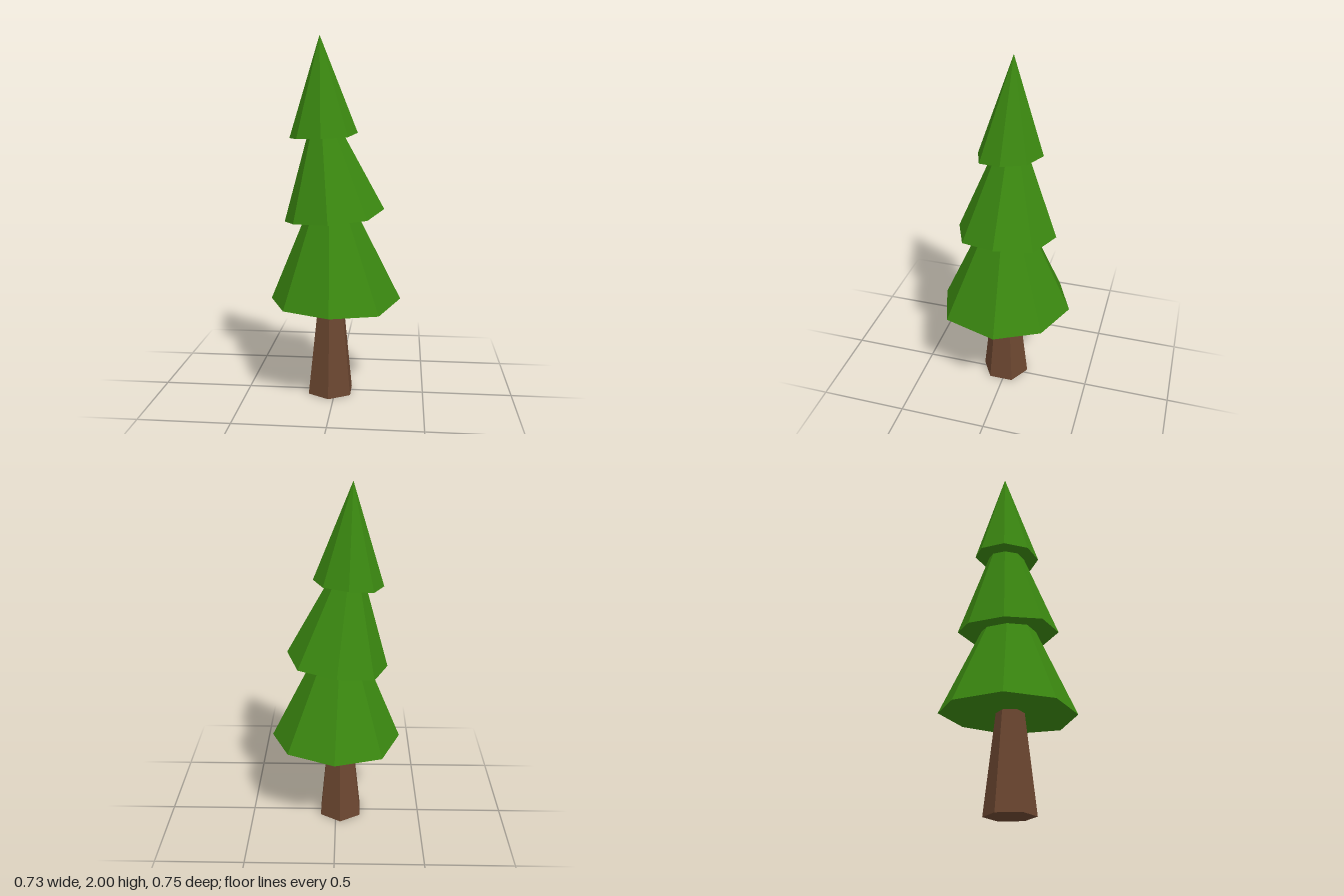
import * as THREE from 'three';

// Closed solid from a base ring up to either one apex point or a matching top ring.
// Rings run from the back (-z) through +x to the front (+z).
function solid(name, base, top, material) {
  const pos = [];
  const tri = (...pts) => pts.forEach((p) => pos.push(...p));
  const centre = (ring) => [0, 1, 2].map((k) => ring.reduce((s, p) => s + p[k], 0) / ring.length);
  const bottom = centre(base);
  const peak = centre(top);
  base.forEach((a, i) => {
    const j = (i + 1) % base.length;
    const b = base[j];
    tri(a, b, bottom);
    if (top.length === 1) {
      tri(b, a, peak);
    } else {
      tri(b, a, top[i]);
      tri(b, top[i], top[j]);
      tri(top[j], top[i], peak);
    }
  });
  const geometry = new THREE.BufferGeometry();
  geometry.setAttribute('position', new THREE.Float32BufferAttribute(pos, 3));
  geometry.computeVertexNormals();
  const mesh = new THREE.Mesh(geometry, material);
  mesh.name = name;
  return mesh;
}

export function createModel() {
  const tree = new THREE.Group();
  tree.name = 'pineTree';
  const foliage = new THREE.MeshStandardMaterial({ color: 0x3a8710 });
  foliage.name = 'foliage green';
  const bark = new THREE.MeshStandardMaterial({ color: 0x6b4630 });
  bark.name = 'bark brown';

  // Tapered six-sided trunk, its top hidden in the lowest tier
  const hexagon = (y, cx, cz, halfWidth, halfDepth) =>
    Array.from({ length: 6 }, (_, i) => {
      const a = (i * Math.PI) / 3;
      return [cx + (halfWidth * Math.sin(a)) / Math.sin(Math.PI / 3), y, cz - halfDepth * Math.cos(a)];
    });
  tree.add(solid('trunk', hexagon(0, -0.028, 0.012, 0.118, 0.138), hexagon(0.6, -0.025, 0.014, 0.06, 0.07), bark));

  // Three leaning eight-sided tiers with uneven lower rims
  tree.add(solid('lowerBranches', [
    [0, 0.555, -0.375], [0.26, 0.56, -0.27], [0.365, 0.545, -0.025], [0.255, 0.53, 0.283],
    [0, 0.535, 0.373], [-0.26, 0.535, 0.255], [-0.368, 0.535, -0.005], [-0.26, 0.535, -0.267],
  ], [[-0.035, 1.34, 0.01]], foliage));

  tree.add(solid('middleBranches', [
    [-0.01, 1.025, -0.28], [0.2, 1.04, -0.2], [0.27, 1.06, 0], [0.187, 1.025, 0.198],
    [-0.015, 1.01, 0.283], [-0.21, 1.0, 0.195], [-0.288, 0.98, -0.005], [-0.21, 0.985, -0.2],
  ], [[-0.09, 1.71, -0.01]], foliage));

  tree.add(solid('upperBranches', [
    [-0.07, 1.475, -0.183], [0.065, 1.478, -0.125], [0.122, 1.478, 0.003], [0.078, 1.46, 0.128],
    [-0.063, 1.452, 0.178], [-0.2, 1.448, 0.122], [-0.257, 1.447, -0.007], [-0.2, 1.455, -0.137],
  ], [[-0.088, 2, -0.012]], foliage));

  return tree;
}
